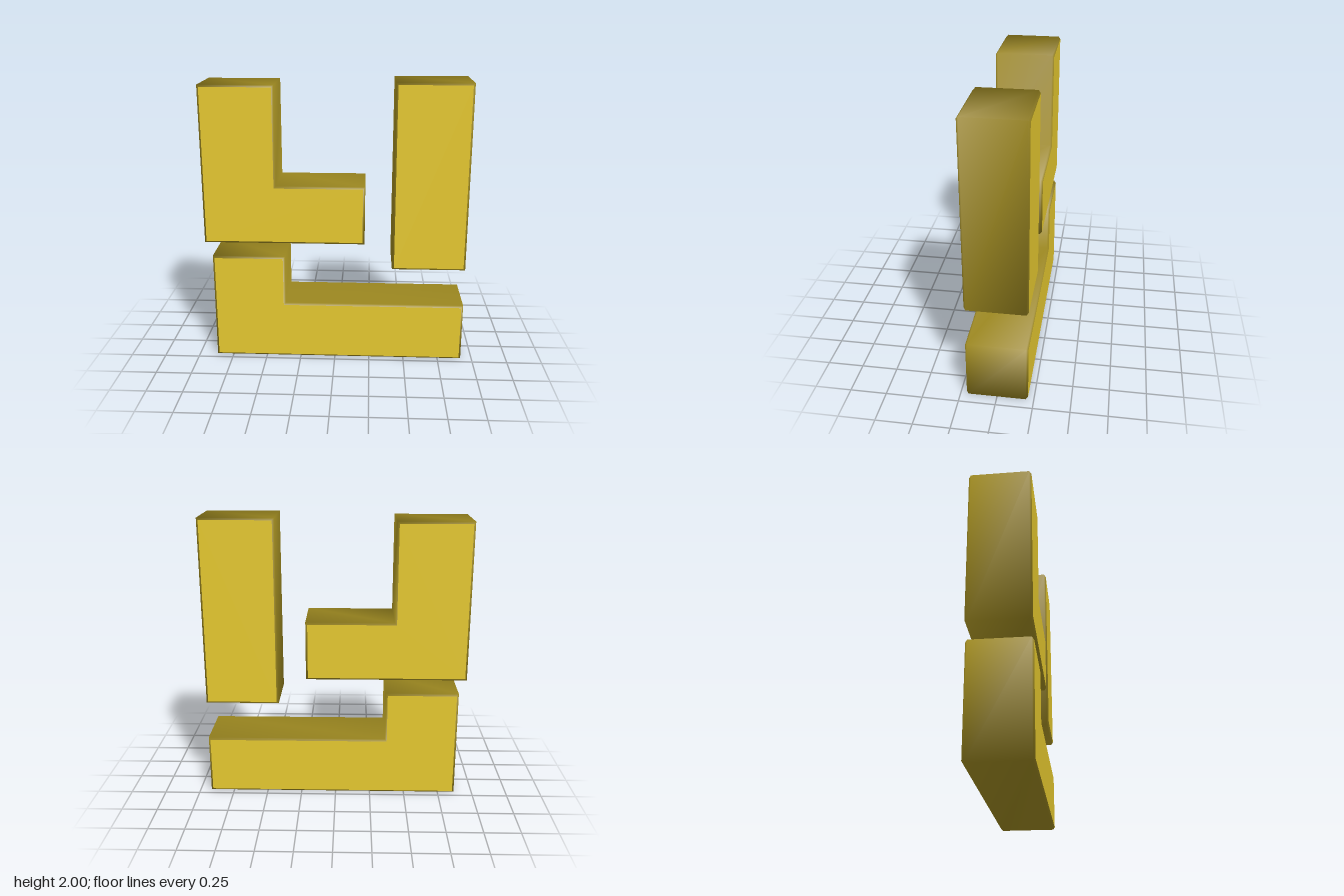
import * as THREE from 'three';
import { mergeVertices } from 'three/addons/utils/BufferGeometryUtils.js';

const DEPTH = 0.42;
const BEVEL = 0.014;

// Copies one group of a non-indexed geometry: 0 = flat faces, 1 = rim and chamfer
function extractGroup(geometry, materialIndex) {
  const source = geometry.attributes.position.array;
  const positions = geometry.groups
    .filter((g) => g.materialIndex === materialIndex)
    .flatMap((g) => Array.from(source.slice(g.start * 3, (g.start + g.count) * 3)));
  const part = new THREE.BufferGeometry();
  part.setAttribute('position', new THREE.Float32BufferAttribute(positions, 3));
  return part;
}

// Extruded outline with a fine chamfer: bright flat faces and a darker, smooth-shaded rim
function block(name, points, faceMaterial, rimMaterial) {
  const shape = new THREE.Shape(points.map(([x, y]) => new THREE.Vector2(x, y)));
  const solid = new THREE.ExtrudeGeometry(shape, {
    depth: DEPTH - 2 * BEVEL,
    bevelEnabled: true,
    bevelThickness: BEVEL,
    bevelSize: BEVEL,
    bevelOffset: -BEVEL,
    bevelSegments: 1,
  });
  solid.translate(0, 0, BEVEL - DEPTH / 2);

  const faceGeometry = extractGroup(solid, 0);
  faceGeometry.computeVertexNormals();
  const faces = new THREE.Mesh(faceGeometry, faceMaterial);
  faces.name = 'frontAndBackFaces';

  const rimGeometry = mergeVertices(extractGroup(solid, 1));
  rimGeometry.computeVertexNormals();
  const rim = new THREE.Mesh(rimGeometry, rimMaterial);
  rim.name = 'rim';

  const group = new THREE.Group();
  group.name = name;
  group.add(faces, rim);
  return group;
}

// L outline: tall arm on the left, low foot running to the right
function lOutline(x0, xArm, x1, y0, yFoot, y1) {
  return [[x0, y0], [x1, y0], [x1, yFoot], [xArm, yFoot], [xArm, y1], [x0, y1]];
}

export function createModel() {
  const gold = new THREE.MeshStandardMaterial({ color: 0xe5c82f });
  gold.name = 'gold';
  const darkGold = new THREE.MeshStandardMaterial({ color: 0x99851f });
  darkGold.name = 'darkGold';

  const group = new THREE.Group();
  group.name = 'blockSculpture';
  group.add(
    block('upperAngleBlock', lOutline(-0.92, -0.407, 0.208, 0.875, 1.29, 1.98), gold, darkGold),
    block('lowerAngleBlock', lOutline(-0.87, -0.355, 0.92, 0, 0.42, 0.773), gold, darkGold),
    block('uprightBlock', [[0.404, 0.692], [0.92, 0.692], [0.92, 2], [0.404, 2]], gold, darkGold),
  );
  return group;
}
